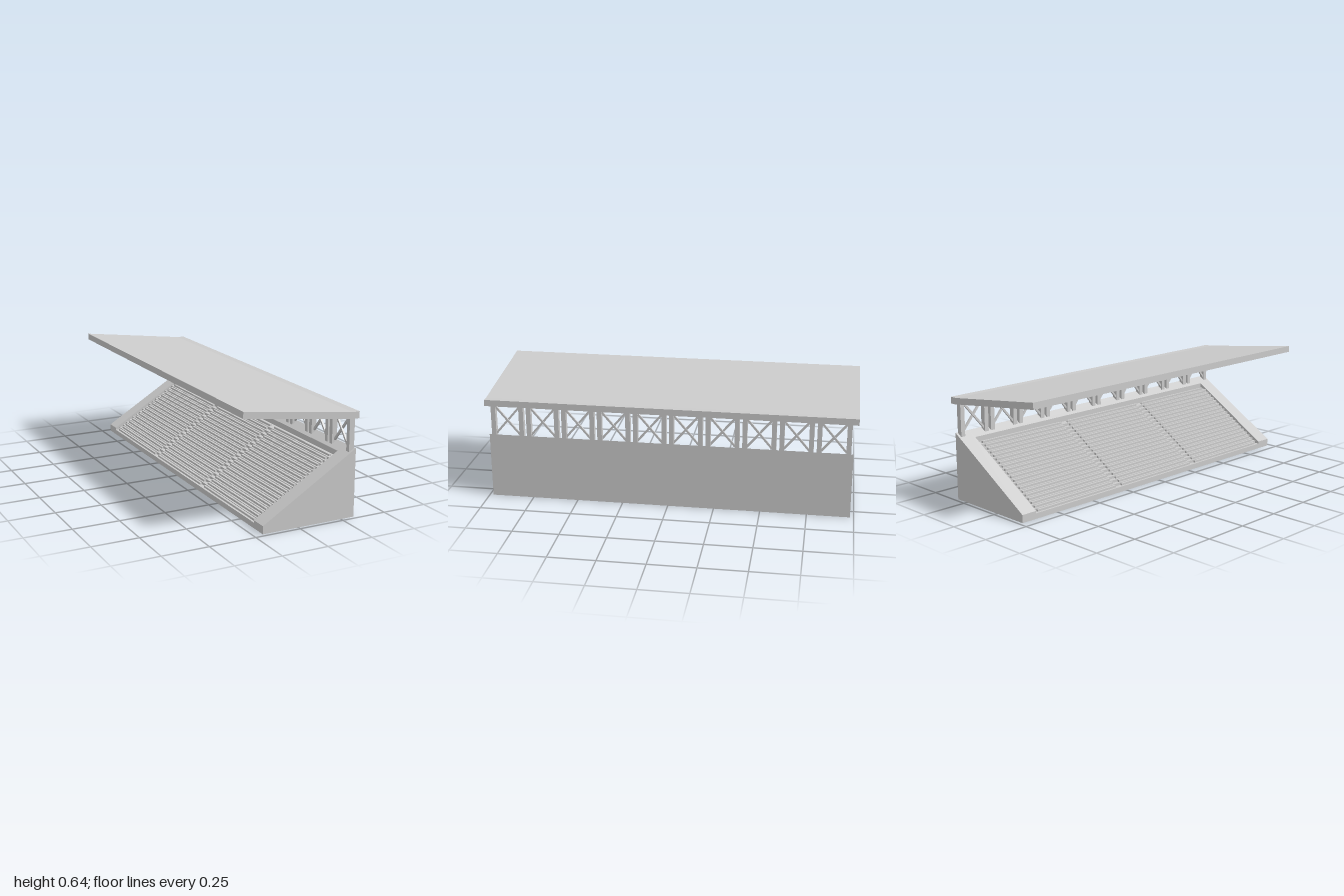
import * as THREE from 'three';

const material = new THREE.MeshStandardMaterial({ color: 0xcccccc, flatShading: true });

// Extrudes an x-y profile along z, centred on the given z.
function prism(name, points, depth, z = 0) {
  const shape = new THREE.Shape(points.map(([x, y]) => new THREE.Vector2(x, y)));
  const geometry = new THREE.ExtrudeGeometry(shape, { depth, bevelEnabled: false });
  geometry.translate(0, 0, z - depth / 2);
  const mesh = new THREE.Mesh(geometry, material);
  mesh.name = name;
  return mesh;
}

function box(name, w, h, d, x, y, z) {
  const mesh = new THREE.Mesh(new THREE.BoxGeometry(w, h, d), material);
  mesh.position.set(x, y, z);
  mesh.name = name;
  return mesh;
}

const ROWS = 20, RUN = 0.0225, RISE = 0.0143;
const FIRST_X = -0.1975, FIRST_Y = 0.029; // front edge and tread height of the lowest row
const HALF = 0.98, WALL = 0.088, INNER = HALF - WALL;

// Sloping end walls
function createEndWalls() {
  const group = new THREE.Group();
  group.name = 'endWalls';
  const profile = [[-0.2, 0], [0.325, 0], [0.325, 0.362], [-0.2, 0.042]];
  for (const s of [-1, 1]) group.add(prism('endWall', profile, WALL, s * (HALF - WALL / 2)));
  return group;
}

// Stepped terrace with the sloping rear ledge
function createTerrace() {
  const profile = [[0.325, 0], [0.325, 0.362], [0.275, 0.3315]];
  const steps = [[-0.2, 0], [-0.2, FIRST_Y]];
  for (let i = 1; i < ROWS; i++) {
    const x = FIRST_X + i * RUN;
    steps.push([x, FIRST_Y + (i - 1) * RISE], [x, FIRST_Y + i * RISE]);
  }
  steps.push([0.275, FIRST_Y + (ROWS - 1) * RISE]);
  return prism('terrace', [...profile, ...steps.reverse()], INNER * 2);
}

// Bench rows in three blocks, split by aisles
function createBenches() {
  const group = new THREE.Group();
  group.name = 'benches';
  const blockPitch = INNER * 2 / 3, length = blockPitch - 0.045;
  for (let i = 0; i < ROWS; i++)
    for (let b = -1; b <= 1; b++)
      group.add(box('bench', 0.012, 0.011, length,
        FIRST_X + i * RUN + 0.0155, FIRST_Y + i * RISE + 0.0055, b * blockPitch));
  return group;
}

// One rear support bay: two posts and a cross brace
function createBay(z) {
  const group = new THREE.Group();
  group.name = 'supportBay';
  const low = 0.335, high = 0.525, x = 0.3075;
  for (const s of [-1, 1]) {
    group.add(box('post', 0.029, high - low, 0.025, x, (low + high) / 2, s * 0.077));
    const brace = box('brace', 0.01, 0.205, 0.011, x + s * 0.003, 0.443, 0);
    brace.rotation.x = s * Math.atan2(0.134, 0.158);
    group.add(brace);
  }
  group.position.z = z;
  return group;
}

export function createModel() {
  const model = new THREE.Group();
  model.name = 'grandstand';
  model.add(createEndWalls(), createTerrace(), createBenches());

  const supports = new THREE.Group();
  supports.name = 'rearSupports';
  for (let i = 0; i < 10; i++) supports.add(createBay((i - 4.5) * 0.195));
  model.add(supports);

  // Cantilevered sloping roof
  model.add(prism('roof', [[-0.325, 0.602], [0.293, 0.523], [0.325, 0.523],
    [0.325, 0.558], [0.284, 0.558], [-0.325, 0.637]], 2));
  return model;
}
